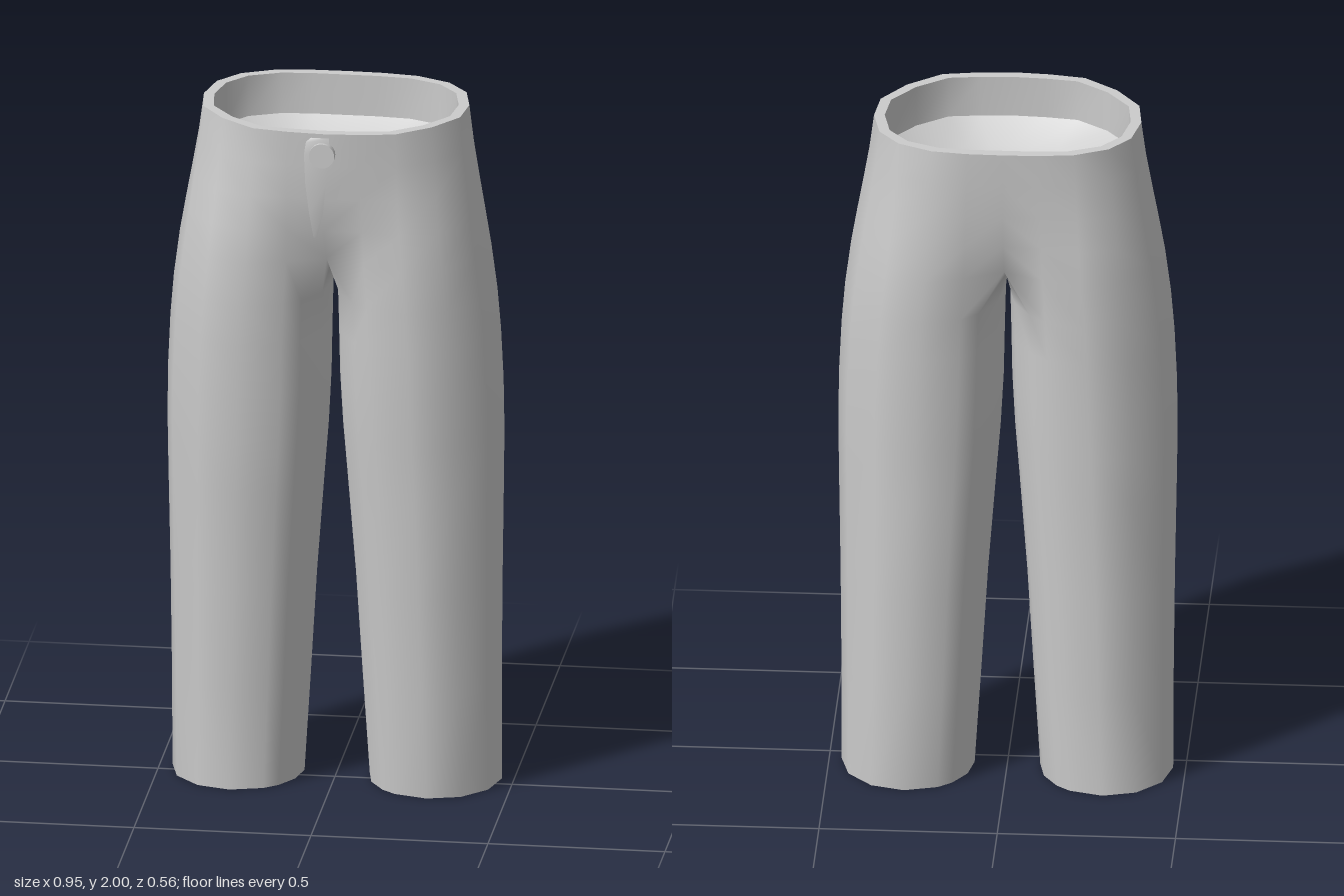
import * as THREE from 'three';
import { mergeVertices } from 'three/addons/utils/BufferGeometryUtils.js';

const V = (x, y, z) => new THREE.Vector3(x, y, z);

// Skin a list of rings (top to bottom, or centre to edge); optionally add the mirrored copy.
function loft(tris, rows, closed, mirror) {
  const put = (a, b, c) => {
    tris.push(a, b, c);
    if (mirror) for (const p of [a, c, b]) tris.push(V(-p.x, p.y, p.z));
  };
  for (let k = 0; k < rows.length - 1; k++) {
    const A = rows[k], B = rows[k + 1], n = A.length;
    for (let i = 0; i < (closed ? n : n - 1); i++) {
      const j = (i + 1) % n;
      put(B[i], B[j], A[j]);
      put(B[i], A[j], A[i]);
    }
  }
}

function smoothMesh(tris, material, name) {
  const raw = new THREE.BufferGeometry().setFromPoints(tris);
  const geo = mergeVertices(raw, 1e-4);
  geo.computeVertexNormals();
  const mesh = new THREE.Mesh(geo, material);
  mesh.name = name;
  return mesh;
}

// Angles round one leg: front seam, outer side, back seam, inner side
const ANGLES = [135, 120, 90, 60, 30, 0, -30, -60, -90, -120, -135, -157, -180, -203];

function legRing([y, xi, xo, zf, zb], inset = 0) {
  const rx = (xo - xi) / 2 - inset, rz = (zf - zb) / 2 - inset;
  return ANGLES.map((deg) => {
    const a = THREE.MathUtils.degToRad(deg);
    return V((xi + xo) / 2 + rx * Math.cos(a), y, (zf + zb) / 2 + rz * Math.sin(a));
  });
}

// Left half of the waist opening, front centre to back centre (x, z)
const WAIST = [[0, 0.262], [0.1, 0.255], [0.2, 0.238], [0.295, 0.165], [0.363, 0.07], [0.375, -0.035],
  [0.353, -0.14], [0.295, -0.213], [0.2, -0.257], [0.1, -0.269], [0, -0.271]];

// y, outer x, leg front z, leg back z, seam front z, seam back z, blend from waist to leg shape
const HIPS = [
  [2.0, 0.375, 0.25, -0.27, 0.262, -0.271, 0],
  [1.9, 0.388, 0.25, -0.274, 0.258, -0.268, 0.2],
  [1.8, 0.405, 0.252, -0.277, 0.25, -0.26, 0.5],
  [1.7, 0.423, 0.253, -0.279, 0.228, -0.24, 0.8],
  [1.6, 0.44, 0.252, -0.28, 0.175, -0.195, 1],
];

// y, inner x, outer x, front z, back z
const LEGS = [
  [1.47, 0.006, 0.457, 0.248, -0.278],
  [1.35, 0.009, 0.467, 0.243, -0.275],
  [1.2, 0.012, 0.474, 0.235, -0.271],
  [1.05, 0.02, 0.476, 0.225, -0.267],
  [0.9, 0.032, 0.474, 0.214, -0.263],
  [0.6, 0.055, 0.469, 0.192, -0.257],
  [0.3, 0.073, 0.466, 0.171, -0.249],
  [0, 0.092, 0.465, 0.15, -0.24],
];

function hipRow([y, xo, zf, zb, seamF, seamB, t]) {
  const leg = legRing([y, 0, xo, zf, zb]);
  return WAIST.map(([wx, wz], i) => {
    if (i === 0) return V(0, y, seamF);
    if (i === 10) return V(0, y, seamB);
    return V(wx * xo / 0.375, y, wz).lerp(leg[i], t);
  });
}

// Full waist ring, inset by the cloth thickness, then scaled
function waistRing(y, inset, scale = 1) {
  const half = WAIST.map(([x, z]) => [x, z]);
  const full = half.concat(half.slice(1, 10).reverse().map(([x, z]) => [-x, z]));
  return full.map(([x, z]) => {
    const s = scale * (1 - inset / Math.hypot(x, z));
    return V(x * s, y, z * s);
  });
}

export function createModel() {
  const group = new THREE.Group();
  const cloth = new THREE.MeshStandardMaterial({ color: 0xcccccc, side: THREE.DoubleSide });
  cloth.name = 'grey cloth';
  const add = (name, build) => {
    const tris = [];
    build(tris);
    group.add(smoothMesh(tris, cloth, name));
  };

  // Hips and both legs, joined along the crotch saddle
  add('trousers', (tris) => {
    const hips = HIPS.map(hipRow);
    const saddle = [V(0, 1.553, -0.11), V(0, 1.53, -0.015), V(0, 1.553, 0.09)];
    loft(tris, hips, false, true);
    loft(tris, [[...hips[4], ...saddle], ...LEGS.map((r) => legRing(r))], true, true);
  });

  // Waist opening
  add('waistRim', (t) => loft(t, [waistRing(2, 0.03), waistRing(2, 0)], true));
  add('waistLining', (t) => loft(t, [waistRing(1.88, 0.03), waistRing(2, 0.03)], true));
  add('innerFloor', (t) => loft(t, [[0.001, 1.78], [0.35, 1.79], [0.7, 1.82], [1, 1.88]]
    .map(([s, y]) => waistRing(y, 0.03, s)), true));

  // Hems and the hollow inside of the legs
  const hem = LEGS[LEGS.length - 1];
  add('hemRims', (t) => loft(t, [legRing(hem), legRing(hem, 0.022)], true, true));
  add('legLinings', (t) => loft(t, [...LEGS].reverse().slice(0, 4)
    .map((r) => legRing(r, 0.022)), true, true));
  add('legEnds', (t) => loft(t, [0, 0.999].map((s) => {
    const [y, xi, xo, zf, zb] = LEGS[4];
    const ring = legRing([y, xi, xo, zf, zb], 0.022);
    const c = V((xi + xo) / 2, y, (zf + zb) / 2);
    return ring.map((p) => p.clone().lerp(c, s));
  }), true, true));

  // Fly flap: y, left edge x, right edge x, edge z
  add('flyFlap', (t) => {
    const rows = [[1.99, -0.03, 0.02, 0.268], [1.975, -0.046, 0.02, 0.27], [1.94, -0.051, 0.02, 0.271],
      [1.85, -0.048, 0.01, 0.265], [1.76, -0.039, 0, 0.253], [1.68, -0.03, -0.02, 0.227]]
      .map(([y, l, r, z]) => [V(l, y, z - 0.016), V(l, y, z), V(r, y, z)]);
    loft(t, rows, false);
  });

  // Waist button
  const button = new THREE.Mesh(new THREE.CylinderGeometry(0.036, 0.036, 0.022, 20), cloth);
  button.name = 'button';
  button.rotation.x = Math.PI / 2;
  button.position.set(0, 1.94, 0.269);
  group.add(button);

  return group;
}
